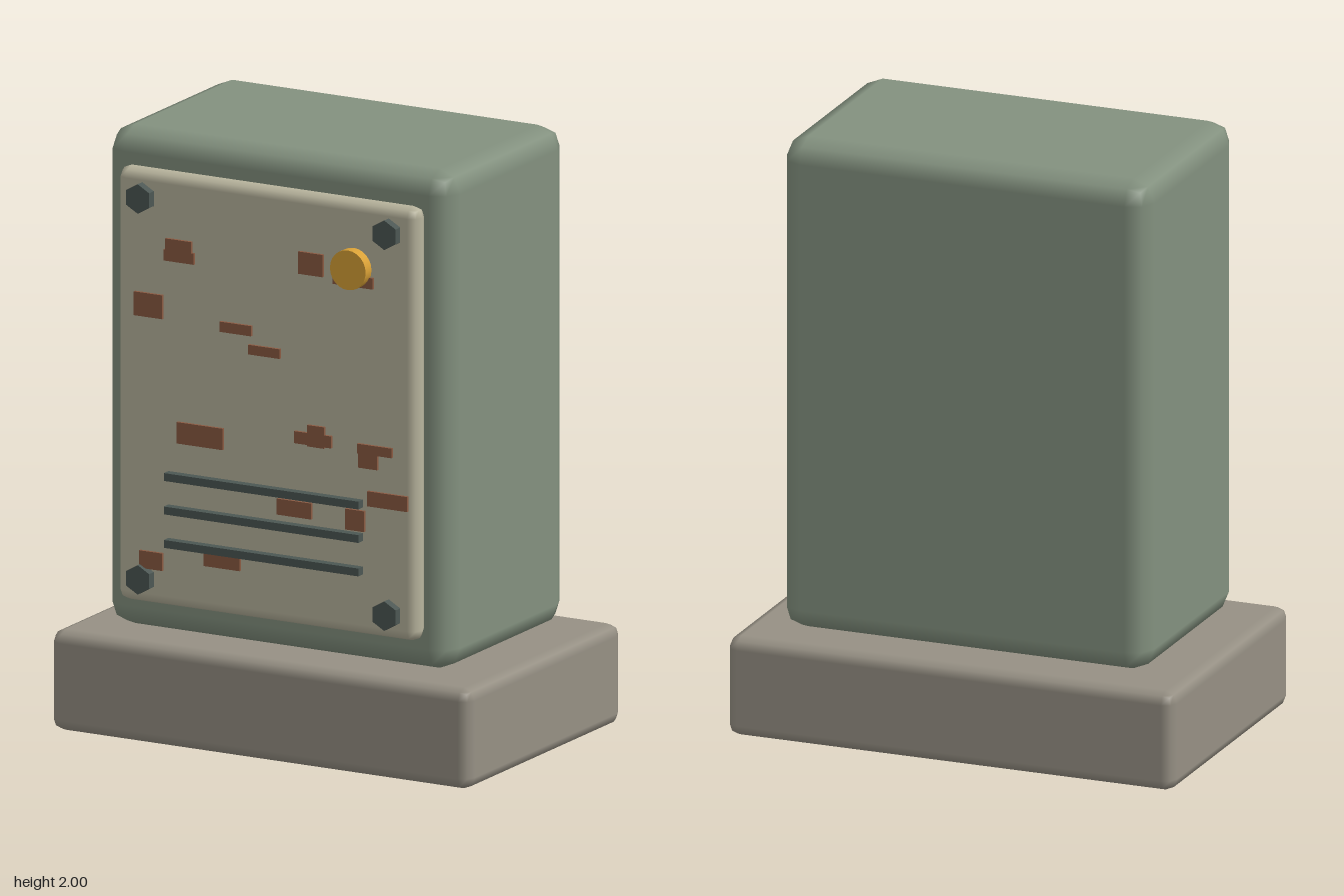
import * as THREE from 'three';
import { RoundedBoxGeometry } from 'three/addons/geometries/RoundedBoxGeometry.js';

const paint = (color, flatShading = false) => new THREE.MeshStandardMaterial({ color, flatShading });

const stone = paint(0x969084);
const green = paint(0x83917f);
const cream = paint(0xb9b59e);
const iron = paint(0x4c5753, true);
const rust = paint(0x8a5a42);
const brass = paint(0xd9a136);

export function createModel() {
  const model = new THREE.Group();
  model.name = 'metalCabinet';

  const add = (name, geometry, material, x, y, z) => {
    const mesh = new THREE.Mesh(geometry, material);
    mesh.name = name;
    mesh.position.set(x, y, z);
    model.add(mesh);
    return mesh;
  };

  // Box with one bevel step, given by its y and z ranges
  const bevelled = (name, material, w, y0, y1, z0, z1, r) =>
    add(name, new RoundedBoxGeometry(w, y1 - y0, z1 - z0, 1, r), material, 0, (y0 + y1) / 2, (z0 + z1) / 2);

  // Disc or hexagon facing +z
  const disc = (r, depth, sides) => new THREE.CylinderGeometry(r, r, depth, sides).rotateX(Math.PI / 2);

  // Plinth, cabinet body and front plate
  bevelled('plinth', stone, 1.55, 0, 0.335, -0.5, 0.5, 0.04);
  bevelled('body', green, 1.275, 0.343, 2, -0.39, 0.388, 0.075);
  bevelled('frontPlate', cream, 1.11, 0.452, 1.893, 0.375, 0.45, 0.036);

  // Hexagonal corner bolts
  const boltGeometry = disc(0.049, 0.03, 6);
  for (const x of [-0.455, 0.455])
    for (const y of [0.54, 1.804]) add('bolt', boltGeometry, iron, x, y, 0.471);

  // Vent bars
  for (let i = 0; i < 3; i++)
    add('ventBar', new THREE.BoxGeometry(0.718, 0.026, 0.03), iron, 0, 0.672 + i * 0.111, 0.47);

  // Round brass knob
  add('knob', disc(0.066, 0.038, 24), brass, 0.33, 1.675, 0.483);

  // Rust patches: x, y, width, height
  const patches = [
    [-0.314, 1.656, 0.095, 0.053], [-0.312, 1.627, 0.111, 0.037],
    [0.174, 1.667, 0.09, 0.074], [0.33, 1.632, 0.148, 0.037],
    [-0.425, 1.452, 0.105, 0.079], [-0.103, 1.416, 0.116, 0.034],
    [0.002, 1.354, 0.116, 0.032], [-0.235, 1.043, 0.169, 0.071],
    [0.182, 1.086, 0.137, 0.04], [0.193, 1.097, 0.063, 0.071],
    [0.41, 1.079, 0.127, 0.032], [0.386, 1.04, 0.069, 0.048],
    [0.457, 0.917, 0.148, 0.05], [0.114, 0.847, 0.127, 0.053],
    [0.338, 0.839, 0.069, 0.069], [-0.415, 0.606, 0.085, 0.058],
    [-0.153, 0.638, 0.132, 0.048],
  ];
  for (const [x, y, w, h] of patches)
    add('rustPatch', new THREE.BoxGeometry(w, h, 0.01), rust, x, y, 0.467);

  return model;
}
